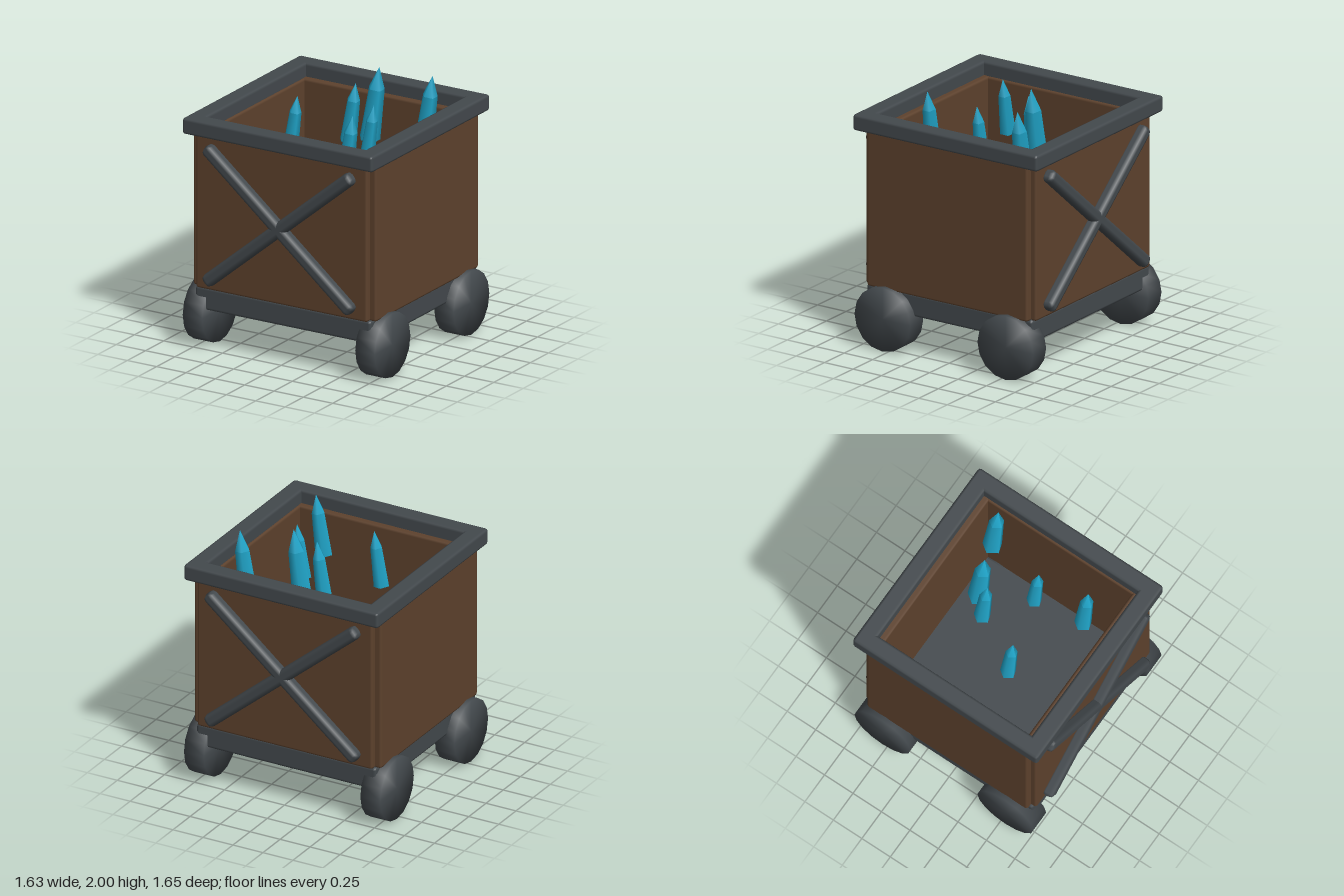
import * as THREE from 'three';
import { mergeVertices } from 'three/addons/utils/BufferGeometryUtils.js';
import { RoundedBoxGeometry } from 'three/addons/geometries/RoundedBoxGeometry.js';

export function createModel() {
  const model = new THREE.Group();
  model.name = 'mineCart';

  const material = (name, color) => {
    const m = new THREE.MeshStandardMaterial({ color });
    m.name = name;
    return m;
  };
  const wood = material('brown wood', 0x5e422d);
  const iron = material('dark iron', 0x43494d);
  const crystal = material('blue crystal', 0x20a4c8);

  const add = (name, geometry, mat, x, y, z, parent = model) => {
    const mesh = new THREE.Mesh(geometry, mat);
    mesh.name = name;
    mesh.position.set(x, y, z);
    parent.add(mesh);
    return mesh;
  };
  // Box with softly bevelled edges
  const block = (w, h, d, bevel) => new RoundedBoxGeometry(w, h, d, 1, bevel);

  // Chassis, also the floor of the box
  add('chassis', block(1.5, 0.18, 1.46, 0.025), iron, 0, 0.38, 0);

  // Walls, rim bars and cross braces, mirrored
  for (const s of [-1, 1]) {
    const end = s > 0 ? 'front' : 'back';
    const side = s > 0 ? 'left' : 'right';
    add(end + 'Wall', block(1.46, 1.2, 0.12, 0.02), wood, 0, 1.06, s * 0.69);
    add(side + 'Wall', block(0.12, 1.2, 1.41, 0.02), wood, s * 0.72, 1.06, 0);
    add(end + 'Rim', block(1.62, 0.125, 0.135, 0.022), iron, 0, 1.7025, s * 0.7425);
    add(side + 'Rim', block(0.135, 0.125, 1.62, 0.022), iron, s * 0.7425, 1.7025, 0);
    for (const t of [-1, 1]) {
      const brace = add(end + 'Brace', block(1.62, 0.1, 0.1, 0.035), iron, 0, 1.05, s * 0.775);
      brace.rotation.z = t * 0.695;
    }
  }

  // Wheels with normals blended over the rim
  let wheelGeometry = new THREE.CylinderGeometry(0.245, 0.245, 0.165, 16);
  wheelGeometry.deleteAttribute('normal');
  wheelGeometry.deleteAttribute('uv');
  wheelGeometry = mergeVertices(wheelGeometry, 1e-4);
  wheelGeometry.computeVertexNormals();
  wheelGeometry.rotateZ(Math.PI / 2);
  for (const sx of [-1, 1]) {
    for (const sz of [-1, 1]) {
      add('wheel', wheelGeometry, iron, sx * 0.735, 0.245, sz * 0.54);
    }
  }

  // Leaning five-sided crystals: tip position x, y, z
  const tips = [
    [0.17, 2.0, -0.32], [0.54, 1.96, -0.455], [0.41, 1.9, 0.425],
    [0.04, 1.885, -0.207], [-0.21, 1.86, 0.19], [0.345, 1.845, 0.035],
  ];
  const lean = 0.15, baseY = 1.435;
  const shaft = new THREE.CylinderGeometry(0.061, 0.08, 0.4, 5, 1, false, -Math.PI / 2);
  const point = new THREE.ConeGeometry(0.061, 0.17, 5, 1, false, -Math.PI / 2);
  for (const [x, y, z] of tips) {
    const group = new THREE.Group();
    group.name = 'crystal';
    group.position.set(x - (y - baseY) * Math.tan(lean), baseY, z);
    group.rotation.z = -lean;
    group.scale.setScalar((y - baseY) / Math.cos(lean) / 0.57);
    add('crystalShaft', shaft, crystal, 0, 0.2, 0, group);
    add('crystalPoint', point, crystal, 0, 0.485, 0, group);
    model.add(group);
  }
  return model;
}
